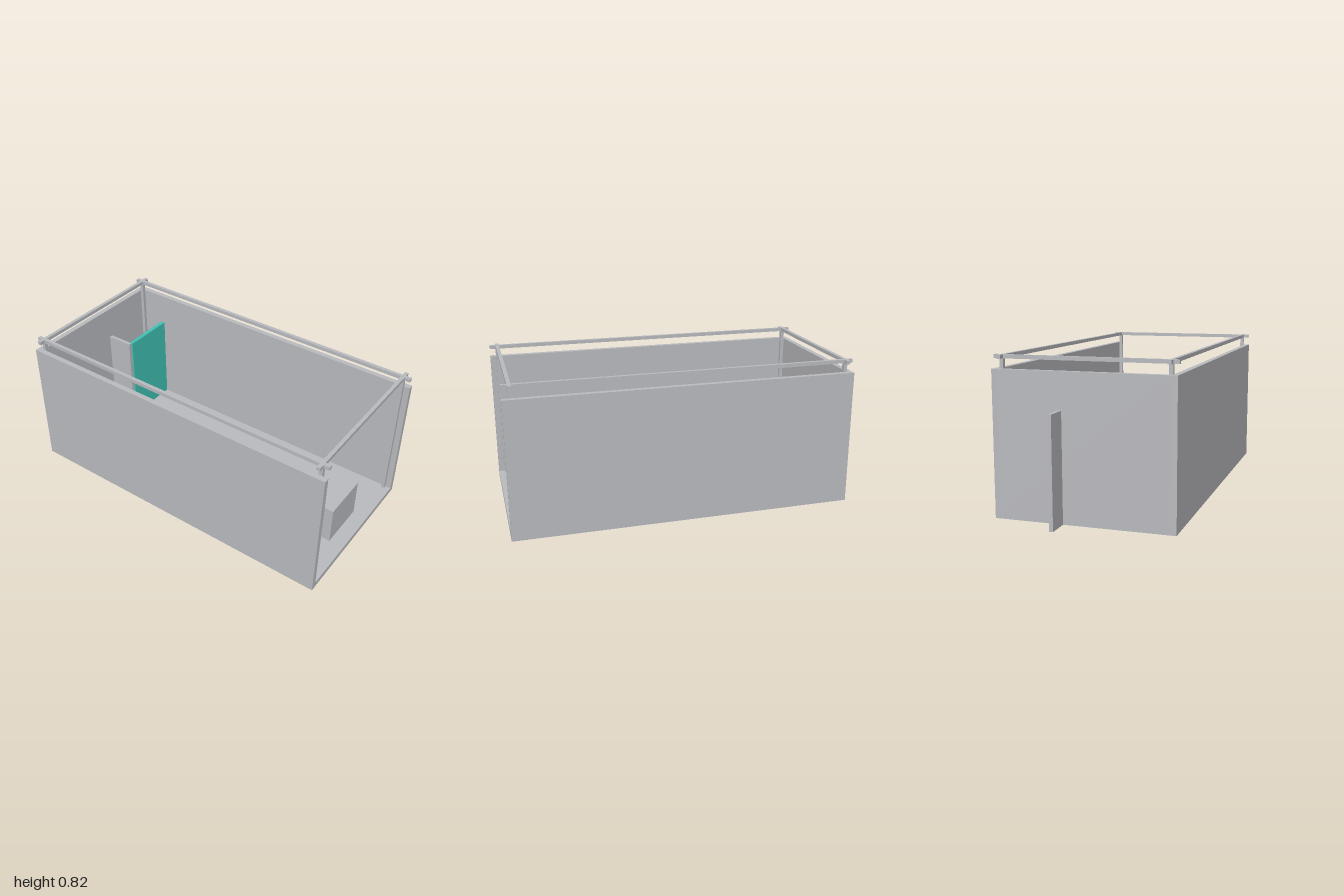
import * as THREE from 'three';

export function createModel() {
  const model = new THREE.Group();
  model.name = 'openRoom';

  const grey = new THREE.MeshStandardMaterial({ color: 0xb9babe });
  grey.name = 'plain grey';
  const teal = new THREE.MeshStandardMaterial({ color: 0x40c1b3 });
  teal.name = 'teal panel';

  // Box given by its extents along each axis
  function block(name, [x0, x1], [y0, y1], [z0, z1], material = grey) {
    const mesh = new THREE.Mesh(new THREE.BoxGeometry(x1 - x0, y1 - y0, z1 - z0), material);
    mesh.position.set((x0 + x1) / 2, (y0 + y1) / 2, (z0 + z1) / 2);
    mesh.name = name;
    model.add(mesh);
  }
  const mirrored = (side, a, b) => (side > 0 ? [a, b] : [-b, -a]);

  const W = 0.47, IN = 0.44, POST = 0.42;   // outer wall, inner wall, inner post face
  const FLOOR = 0.03, WALL = 0.754;
  const BACK = -0.88, FRONT = 1;
  const RAIL = [0.803, 0.823];
  const postRows = { back: [-0.85, -0.83], front: [0.948, 0.968] };

  // Shell: floor, back wall and two side walls, open at the front and top
  block('floor', [-IN, IN], [0, FLOOR], [BACK, FRONT]);
  block('backWall', [-IN, IN], [FLOOR, WALL], [BACK, BACK + 0.03]);

  for (const side of [1, -1]) {
    const label = side > 0 ? 'left' : 'right';
    block(label + 'Wall', mirrored(side, IN, W), [0, WALL], [BACK, FRONT]);
    block(label + 'Rail', mirrored(side, POST, IN), RAIL, [BACK, FRONT]);
    for (const [row, z] of Object.entries(postRows)) {
      block(`${label}${row}Post`, mirrored(side, POST, IN), [FLOOR, RAIL[0]], z);
    }
  }

  // Cross rails over the front and back posts
  for (const [row, z] of Object.entries(postRows)) block(row + 'Rail', [-W, W], RAIL, z);

  // Counter near the entrance
  block('counter', [-0.14, 0.14], [FLOOR, 0.25], [0.77, 0.915]);

  // Partition passing through the back wall, with a teal panel closing the corner
  block('partition', [0.104, 0.124], [0, 0.565], [-1, -0.69]);
  block('cornerPanel', [0.124, IN], [-0.0005, 0.565], [-0.703, -0.68], teal);

  return model;
}
